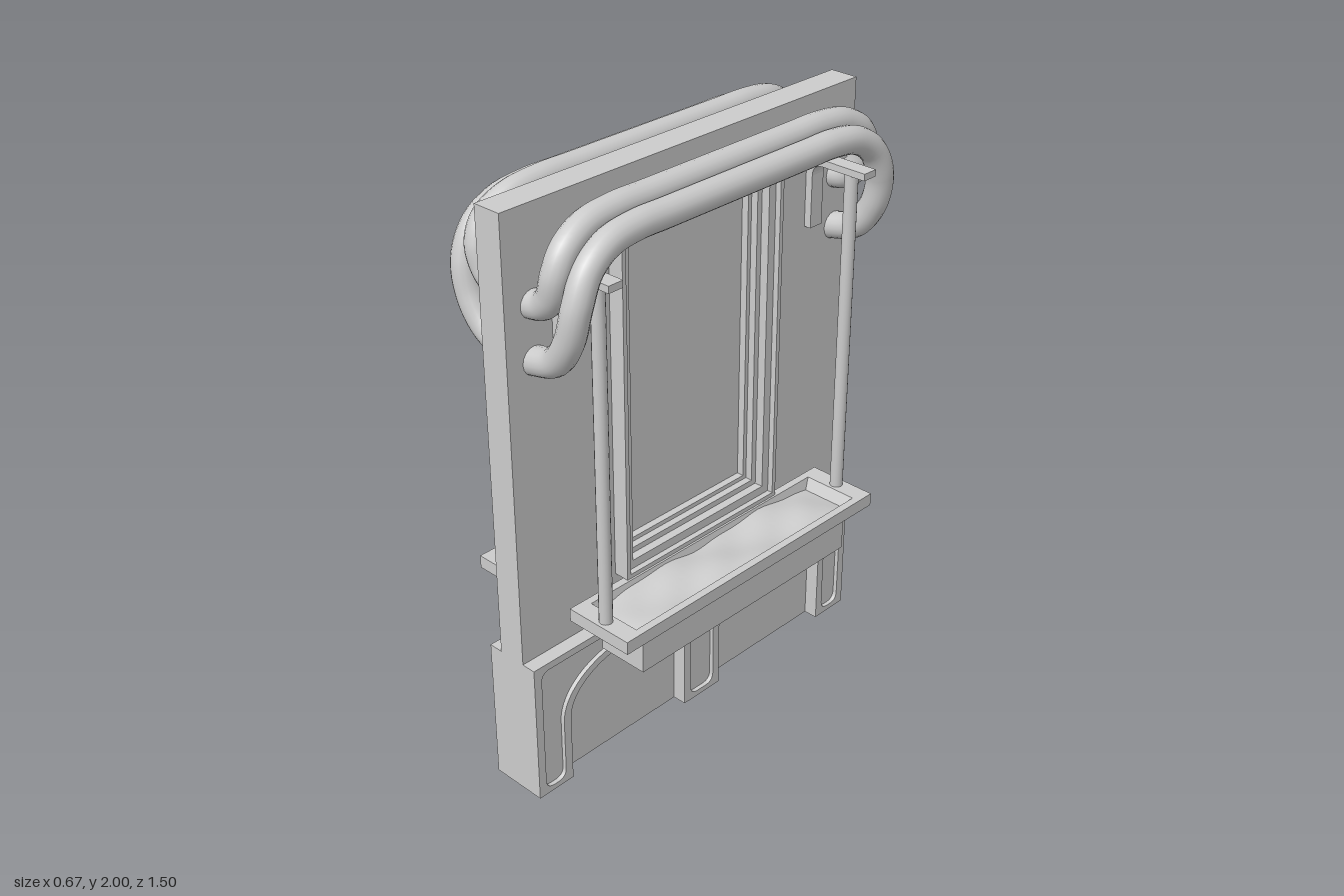
import * as THREE from 'three';

const mat = new THREE.MeshStandardMaterial({ color: 0xcccccc });
const matDouble = new THREE.MeshStandardMaterial({ color: 0xcccccc, side: THREE.DoubleSide });

function add(parent, name, geometry, x = 0, y = 0, z = 0, material = mat) {
  const mesh = new THREE.Mesh(geometry, material);
  mesh.name = name;
  mesh.position.set(x, y, z);
  parent.add(mesh);
}

// Extrude a shape drawn in the z-y plane along x, from x0 to x1
function slab(shape, x0, x1) {
  const g = new THREE.ExtrudeGeometry(shape, { depth: x1 - x0, bevelEnabled: false, curveSegments: 16 });
  return g.rotateY(Math.PI / 2).translate(x0, 0, 0);
}

// Plinth outline: three legs with two arches between them
function arcade(path, half, top, bottom, hw, peak, r) {
  const c = 0.345, spring = 0.24, k = 0.58;
  const legs = [[-half, -c - hw], [-c + hw, c - hw], [c + hw, half]];
  legs.forEach(([a, b], i) => {
    if (i === 0) path.moveTo(a, bottom + r);
    if (r) path.quadraticCurveTo(a, bottom, a + r, bottom);
    path.lineTo(b - r, bottom);
    if (r) path.quadraticCurveTo(b, bottom, b, bottom + r);
    if (i < 2) {
      const m = b + hw, h = peak - spring;
      path.lineTo(b, spring);
      path.bezierCurveTo(b, spring + h * k, m - hw * k, peak, m, peak);
      path.bezierCurveTo(m + hw * k, peak, m + hw, spring + h * k, m + hw, spring);
      path.lineTo(m + hw, bottom + r);
    }
  });
  path.lineTo(half, top - r);
  if (r) path.quadraticCurveTo(half, top, half - r, top);
  path.lineTo(-half + r, top);
  if (r) path.quadraticCurveTo(-half, top, -half, top - r);
  path.lineTo(-half, bottom + r);
  return path;
}

// Window outline with a shallow arched head, grown outward by o
function windowPath(path, o) {
  const w = 0.27 + o, bottom = 0.725 - o, corner = 1.795 + o * 0.9, peak = 1.845 + o * 1.05;
  path.moveTo(-w, bottom);
  path.lineTo(w, bottom);
  path.lineTo(w, corner);
  path.quadraticCurveTo(0, 2 * peak - corner, -w, corner);
  path.lineTo(-w, bottom);
  return path;
}

// Skin a list of rectangular rings [half x, half z, y] and close the bottom
function trayGeometry(rings) {
  const pos = [];
  const corners = rings.map(([hx, hz, y]) => [[hx, y, hz], [hx, y, -hz], [-hx, y, -hz], [-hx, y, hz]]);
  const quad = (a, b, c, d) => pos.push(...a, ...b, ...c, ...a, ...c, ...d);
  for (let r = 0; r < rings.length - 1; r++) {
    const lo = corners[r], hi = corners[r + 1];
    for (let i = 0, j = 1; i < 4; i++, j = (i + 1) % 4) quad(lo[i], lo[j], hi[j], hi[i]);
  }
  const [a, b, c, d] = corners[0];
  quad(d, c, b, a);
  const g = new THREE.BufferGeometry();
  g.setAttribute('position', new THREE.Float32BufferAttribute(pos, 3));
  g.computeVertexNormals();
  return g;
}

// Rail that runs along the wall and bends back into it at both ends
function railGeometry(end, sign) {
  const front = end.map(([x, y, z]) => new THREE.Vector3(x * sign, y, z));
  const back = front.map(p => new THREE.Vector3(p.x, p.y, -p.z)).reverse();
  const [x, y] = end[0];
  const middle = [-0.3, 0, 0.3].map(z => new THREE.Vector3(x * sign, y, z));
  const curve = new THREE.CatmullRomCurve3([...back, ...middle, ...front]);
  return new THREE.TubeGeometry(curve, 120, 0.045, 16, false);
}

function createSide() {
  const side = new THREE.Group();

  // Plinth: backing layer, then a raised rim around the sunken spandrel
  const rim = () => arcade(new THREE.Shape(), 0.75, 0.505, 0, 0.26, 0.405, 0);
  add(side, 'plinthBacking', slab(rim(), 0.05, 0.085));
  const face = rim();
  face.holes.push(arcade(new THREE.Path(), 0.72, 0.48, 0.02, 0.29, 0.43, 0.035));
  add(side, 'plinthRim', slab(face, 0.085, 0.1));

  // Window frame stepping down into the wall: [outer, inner, front face]
  [[0.08, 0.065, 0.105], [0.065, 0.035, 0.085], [0.035, 0.015, 0.055], [0.015, 0, 0.03]].forEach(([outer, inner, x], i) => {
    const ring = windowPath(new THREE.Shape(), outer);
    ring.holes.push(windowPath(new THREE.Path(), inner));
    add(side, 'windowFrame' + (i + 1), slab(ring, 0, x));
  });

  // Planter trough with a wide rim
  add(side, 'planter', trayGeometry([
    [0.08, 0.47, 0.45], [0.09, 0.48, 0.46], [0.09, 0.48, 0.572], [0.117, 0.565, 0.6],
    [0.125, 0.58, 0.6], [0.125, 0.58, 0.645], [0.098, 0.515, 0.645], [0.085, 0.485, 0.59],
  ]), 0.21);

  // Uneven soil
  const soil = new THREE.PlaneGeometry(0.186, 1.0, 8, 32).rotateX(-Math.PI / 2);
  const p = soil.attributes.position;
  for (let i = 0; i < p.count; i++) {
    const x = p.getX(i), z = p.getZ(i);
    const edge = Math.max(0, 1 - (z / 0.5) ** 6);
    const wave = 0.008 * Math.sin(z * 13 + x * 18) + 0.004 * Math.sin(z * 29 - x * 30);
    p.setY(i, 0.605 + edge * (0.022 + wave));
  }
  soil.computeVertexNormals();
  add(side, 'soil', soil, 0.21, 0, 0, matDouble);

  // Hanger poles and their bent strap brackets
  const strap = new THREE.Shape();
  strap.moveTo(0.05, 1.56);
  strap.lineTo(0.075, 1.56);
  strap.lineTo(0.075, 1.74);
  strap.quadraticCurveTo(0.075, 1.78, 0.115, 1.78);
  strap.lineTo(0.282, 1.78);
  strap.lineTo(0.282, 1.803);
  strap.lineTo(0.09, 1.803);
  strap.quadraticCurveTo(0.05, 1.803, 0.05, 1.763);
  const strapGeo = new THREE.ExtrudeGeometry(strap, { depth: 0.055, bevelEnabled: false, curveSegments: 8 });
  for (const z of [-0.547, 0.547]) {
    add(side, 'hangerPole', new THREE.CylinderGeometry(0.022, 0.022, 1.155, 16), 0.21, 1.2125, z);
    add(side, 'hangerBracket', strapGeo, 0, 0, z - 0.0275);
  }
  return side;
}

export function createModel() {
  const model = new THREE.Group();

  // Wall pierced by the window opening, with a thin pane in the middle
  const wall = new THREE.Shape();
  wall.moveTo(-0.75, 0);
  wall.lineTo(0.75, 0);
  wall.lineTo(0.75, 2);
  wall.lineTo(-0.75, 2);
  wall.holes.push(windowPath(new THREE.Path(), 0.07));
  add(model, 'wall', slab(wall, -0.05, 0.05));
  add(model, 'windowPane', slab(windowPath(new THREE.Shape(), 0.01), -0.005, 0.005));

  // The same fittings on both faces of the wall
  const left = createSide();
  left.name = 'leftSide';
  const right = createSide();
  right.name = 'rightSide';
  right.rotation.y = Math.PI;
  model.add(left, right);

  // Two bent rails on each face, set slightly toward the back
  const outer = [
    [0.22, 1.91, 0.42], [0.223, 1.893, 0.53], [0.229, 1.84, 0.61], [0.23, 1.745, 0.654],
    [0.203, 1.635, 0.662], [0.14, 1.55, 0.658], [0.03, 1.515, 0.655],
  ];
  const inner = [
    [0.15, 1.945, 0.44], [0.153, 1.93, 0.55], [0.16, 1.885, 0.628], [0.157, 1.82, 0.66],
    [0.135, 1.75, 0.66], [0.095, 1.71, 0.656], [0.03, 1.695, 0.655],
  ];
  for (const [sign, name] of [[1, 'left'], [-1, 'right']]) {
    add(model, name + 'OuterRail', railGeometry(outer, sign), 0, 0, -0.01);
    add(model, name + 'InnerRail', railGeometry(inner, sign), 0, 0, -0.01);
  }
  return model;
}
